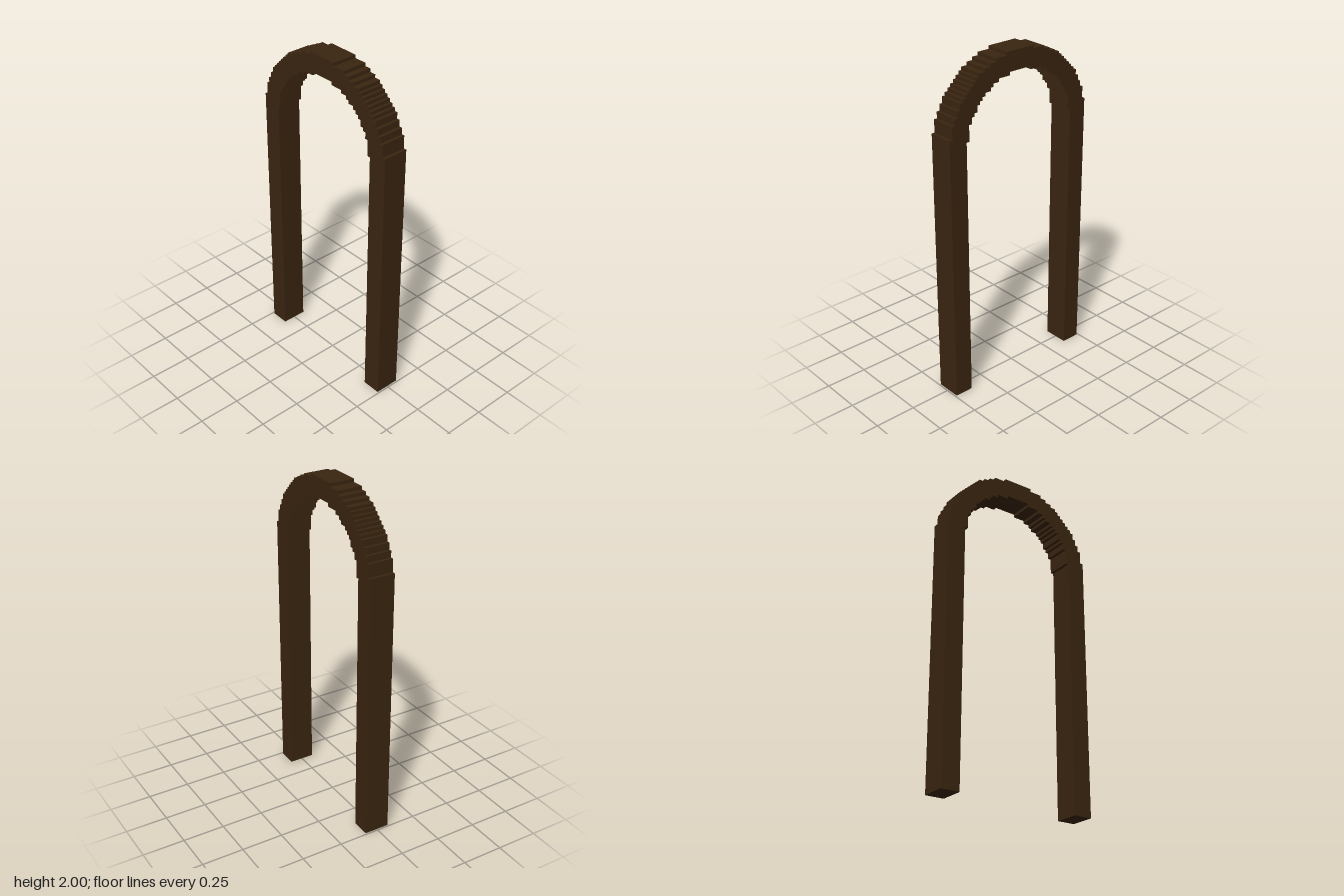
import * as THREE from 'three';

const U = 2 / 106;          // size of one step
const SPRING = 80;          // height where the curve begins, in steps
const DEPTH = 8;            // thickness front to back, in steps
const OUTER = 26, INNER = 20;

// Stepped quarter circle from the crown (x = 0) to the side (x = r)
function steppedQuarter(r) {
  const pts = [];
  for (let i = 0; i < r; i++) {
    let h = Math.round(Math.sqrt(r * r - (i + 0.5) ** 2));
    if (r === INNER && i === r - 1) h = 3;
    const last = pts[pts.length - 1];
    if (last && last[1] === h) last[0] = i + 1;
    else pts.push([i, h], [i + 1, h]);
  }
  pts.push([r, 0]);
  return pts;
}

// Full stepped half circle from -x to +x
function steppedHalf(r) {
  const q = steppedQuarter(r).slice(1);
  return [...q.map(([x, y]) => [-x, y]).reverse(), ...q];
}

export function createModel() {
  const group = new THREE.Group();
  group.name = 'archway';
  const darkWood = new THREE.MeshStandardMaterial({ color: 0x3a2510 });
  darkWood.name = 'dark wood';

  // Curved top with stepped outer and inner edges
  const outline = [...steppedHalf(OUTER), ...steppedHalf(INNER).reverse()];
  const shape = new THREE.Shape(outline.map(([x, y]) => new THREE.Vector2(x * U, (y + SPRING) * U)));
  const archGeometry = new THREE.ExtrudeGeometry(shape, { depth: DEPTH * U, bevelEnabled: false });
  archGeometry.translate(0, 0, -DEPTH * U / 2);
  const arch = new THREE.Mesh(archGeometry, darkWood);
  arch.name = 'steppedArch';
  group.add(arch);

  // Straight posts
  const postGeometry = new THREE.BoxGeometry((OUTER - INNER) * U, SPRING * U, DEPTH * U);
  for (const side of [-1, 1]) {
    const post = new THREE.Mesh(postGeometry, darkWood);
    post.name = side > 0 ? 'leftPost' : 'rightPost';
    post.position.set(side * (OUTER + INNER) / 2 * U, SPRING * U / 2, 0);
    group.add(post);
  }
  return group;
}
